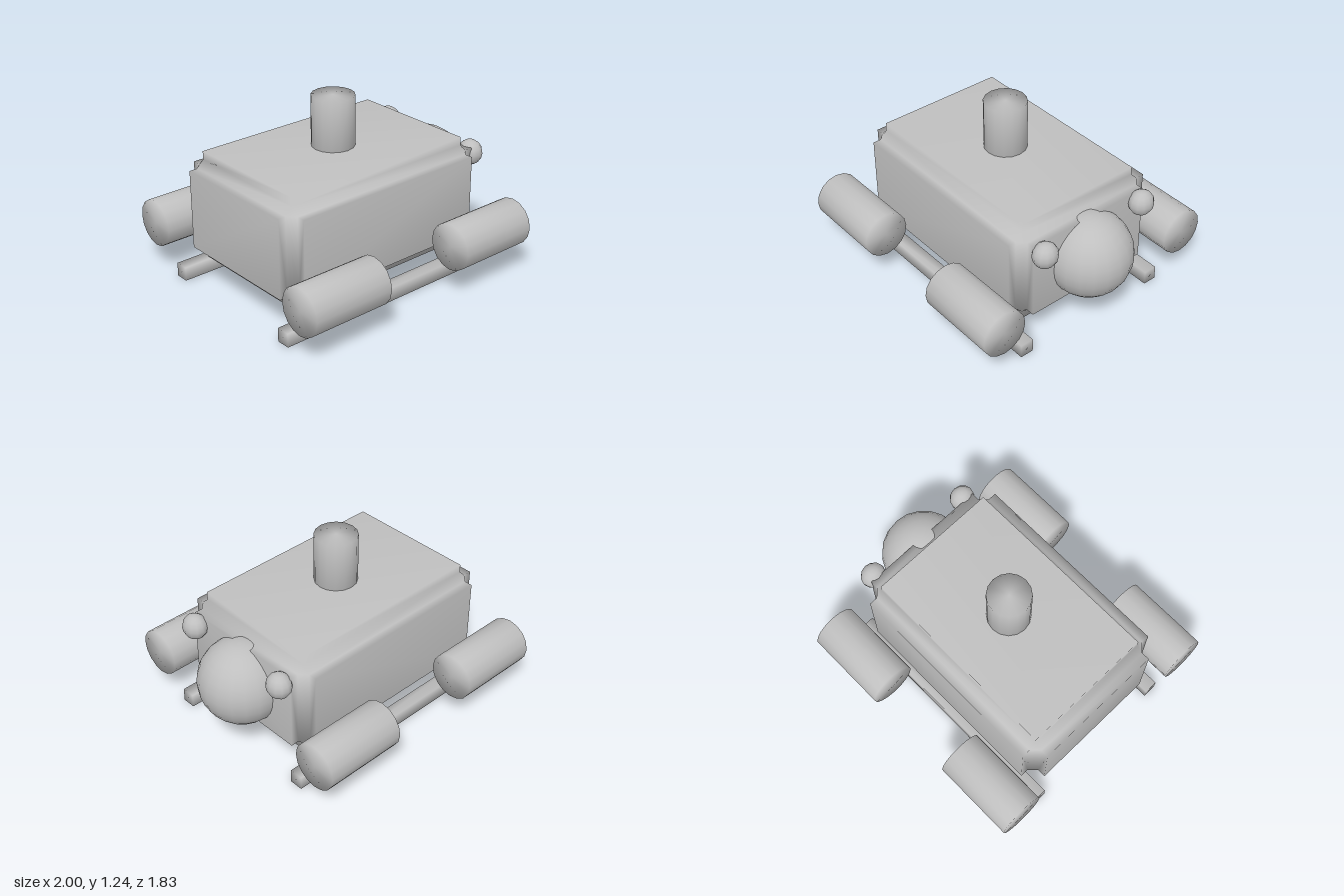
import * as THREE from 'three';
import { mergeVertices } from 'three/addons/utils/BufferGeometryUtils.js';

const grey = new THREE.MeshStandardMaterial({ color: 0xbfbfbf });
grey.name = 'plain grey';

// Weld all corners so shading runs smoothly over every edge
function weld(geometry) {
  geometry.deleteAttribute('uv');
  geometry.deleteAttribute('normal');
  const g = mergeVertices(geometry, 1e-4);
  g.computeVertexNormals();
  return g;
}

// Box whose edges are stepped inwards, with a small chamfer inside each step
function steppedBox(half, inset, chamfer) {
  const pos = [];
  const core = half.map(h => h - inset);
  // Point at the core corner s, pushed out by d along one axis
  const pt = (s, axis, d) => new THREE.Vector3(
    ...s.map((v, i) => v * (core[i] + (i === axis ? d : 0))));
  const tri = (a, b, c, out) => {
    const n = b.clone().sub(a).cross(c.clone().sub(a));
    const p = n.dot(out) > 0 ? [a, b, c] : [a, c, b];
    p.forEach(v => pos.push(v.x, v.y, v.z));
  };
  const quad = (a, b, c, d, out) => { tri(a, b, c, out); tri(a, c, d, out); };
  const dir = (...pairs) => {
    const v = new THREE.Vector3();
    pairs.forEach(([i, s]) => v.setComponent(i, s));
    return v;
  };
  const S = [-1, 1];
  for (let a = 0; a < 3; a++) {
    const b = (a + 1) % 3, c = (a + 2) % 3;
    const sign = (sa, sb, sc) => { const s = []; s[a] = sa; s[b] = sb; s[c] = sc; return s; };
    for (const sa of S) {
      // Outer panel
      quad(pt(sign(sa, -1, -1), a, inset), pt(sign(sa, 1, -1), a, inset),
        pt(sign(sa, 1, 1), a, inset), pt(sign(sa, -1, 1), a, inset), dir([a, sa]));
      // Four side walls of the raised panel
      for (const t of S) {
        const walls = [[b, sign(sa, t, -1), sign(sa, t, 1)], [c, sign(sa, -1, t), sign(sa, 1, t)]];
        for (const [axis, p, q] of walls)
          quad(pt(p, a, chamfer), pt(q, a, chamfer), pt(q, a, inset), pt(p, a, inset), dir([axis, t]));
      }
      // Chamfers between panels a and b
      for (const sb of S) {
        const p = sign(sa, sb, -1), q = sign(sa, sb, 1);
        quad(pt(p, a, chamfer), pt(q, a, chamfer), pt(q, b, chamfer), pt(p, b, chamfer),
          dir([a, sa], [b, sb]));
      }
    }
  }
  // Corner triangles
  for (const x of S) for (const y of S) for (const z of S) {
    const s = [x, y, z];
    tri(pt(s, 0, chamfer), pt(s, 1, chamfer), pt(s, 2, chamfer), new THREE.Vector3(x, y, z));
  }
  const g = new THREE.BufferGeometry();
  g.setAttribute('position', new THREE.Float32BufferAttribute(pos, 3));
  return weld(g);
}

export function createModel() {
  const model = new THREE.Group();
  const add = (name, geometry, x, y, z) => {
    const mesh = new THREE.Mesh(geometry, grey);
    mesh.name = name;
    mesh.position.set(x, y, z);
    model.add(mesh);
    return mesh;
  };

  // Main body and funnel
  add('body', steppedBox([0.807, 0.377, 0.56], 0.107, 0.05), -0.1, 0.518, 0);
  add('funnel', weld(new THREE.CylinderGeometry(0.143, 0.143, 0.36, 16)), -0.102, 1.056, 0);

  // Round nose with two small eyes beside it
  add('nose', new THREE.SphereGeometry(0.287, 20, 14), 0.711, 0.515, 0);
  const eye = new THREE.SphereGeometry(0.087, 12, 8);
  const roller = weld(new THREE.CylinderGeometry(0.161, 0.161, 0.575, 16));
  const runner = weld(new THREE.BoxGeometry(1.71, 0.094, 0.094));

  for (const side of [-1, 1]) {
    const label = side > 0 ? 'front' : 'back';
    add(label + 'Eye', eye, 0.752, 0.733, side * 0.4).scale.x = 0.92;
    // Long rollers beside the body
    for (const [end, x] of [['Left', 0.512], ['Right', -0.712]])
      add(label + end + 'Roller', roller, x, 0.338, side * 0.755).rotation.z = Math.PI / 2;
    // Runner under each side
    add(label + 'Runner', runner, -0.102, 0.047, side * 0.538);
  }
  return model;
}
